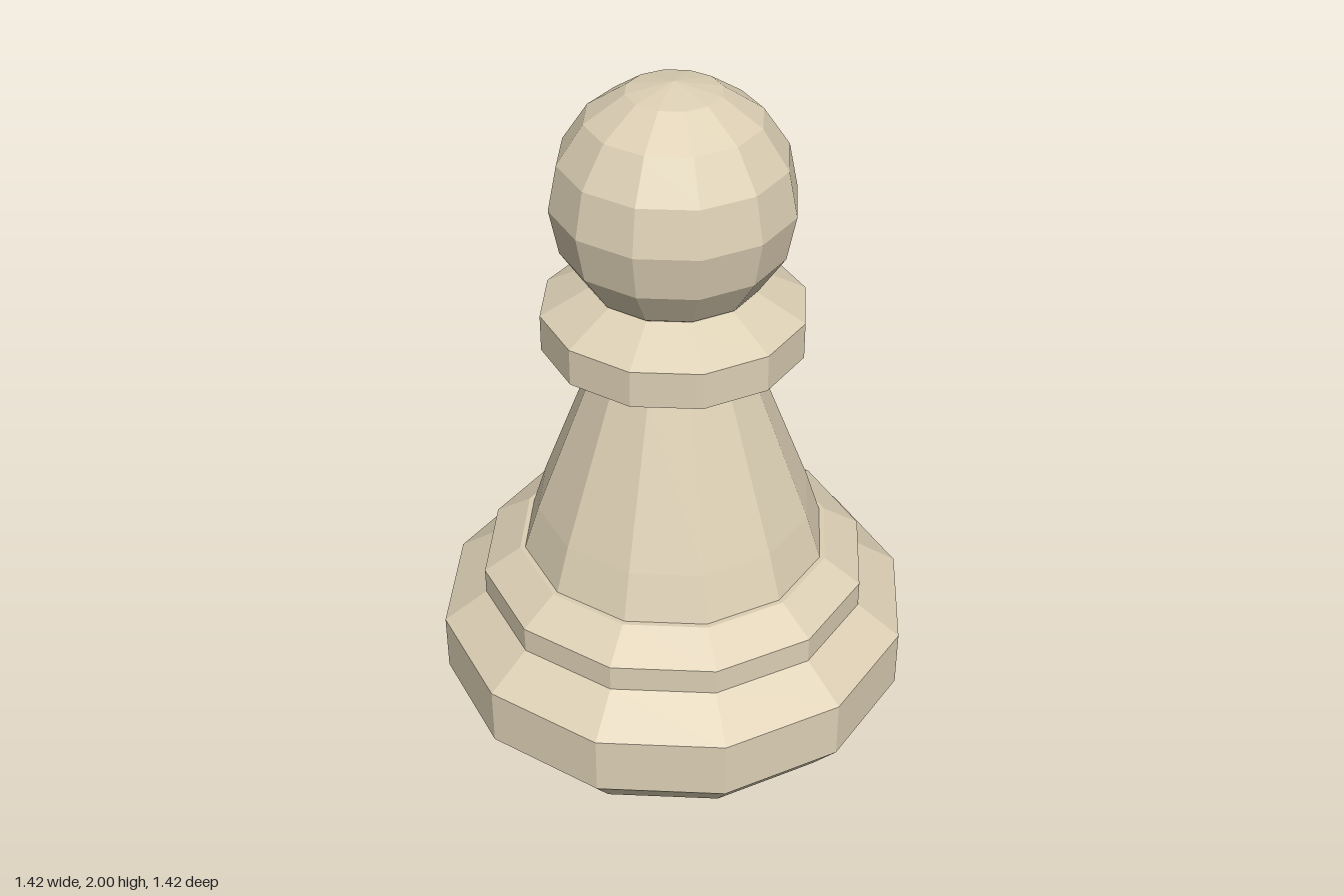
import * as THREE from 'three';

const SIDES = 12;

export function createModel() {
  const group = new THREE.Group();
  const material = new THREE.MeshStandardMaterial({ color: 0xdccfb4, flatShading: true });

  const add = (name, geometry, y = 0) => {
    const mesh = new THREE.Mesh(geometry, material);
    mesh.name = name;
    mesh.position.y = y;
    group.add(mesh);
  };

  // Faceted turned part from [radius, height] pairs, bottom to top
  const turned = (name, profile) =>
    add(name, new THREE.LatheGeometry(profile.map(([r, y]) => new THREE.Vector2(r, y)), SIDES));

  // Wide foot with a stepped ring above it
  turned('base', [
    [0, 0], [0.62, 0], [0.71, 0.11], [0.71, 0.29], [0.58, 0.38],
    [0.58, 0.46], [0.47, 0.53], [0, 0.53],
  ]);

  // Tapering stem, flared at the foot
  turned('stem', [[0.455, 0.53], [0.41, 0.67], [0.235, 1.13]]);

  // Bevelled collar under the head
  turned('collar', [
    [0, 1.13], [0.235, 1.13], [0.38, 1.22], [0.38, 1.33], [0.24, 1.405], [0, 1.405],
  ]);

  // Round head resting in the collar
  add('head', new THREE.SphereGeometry(0.345, SIDES, 8), 1.655);

  return group;
}
